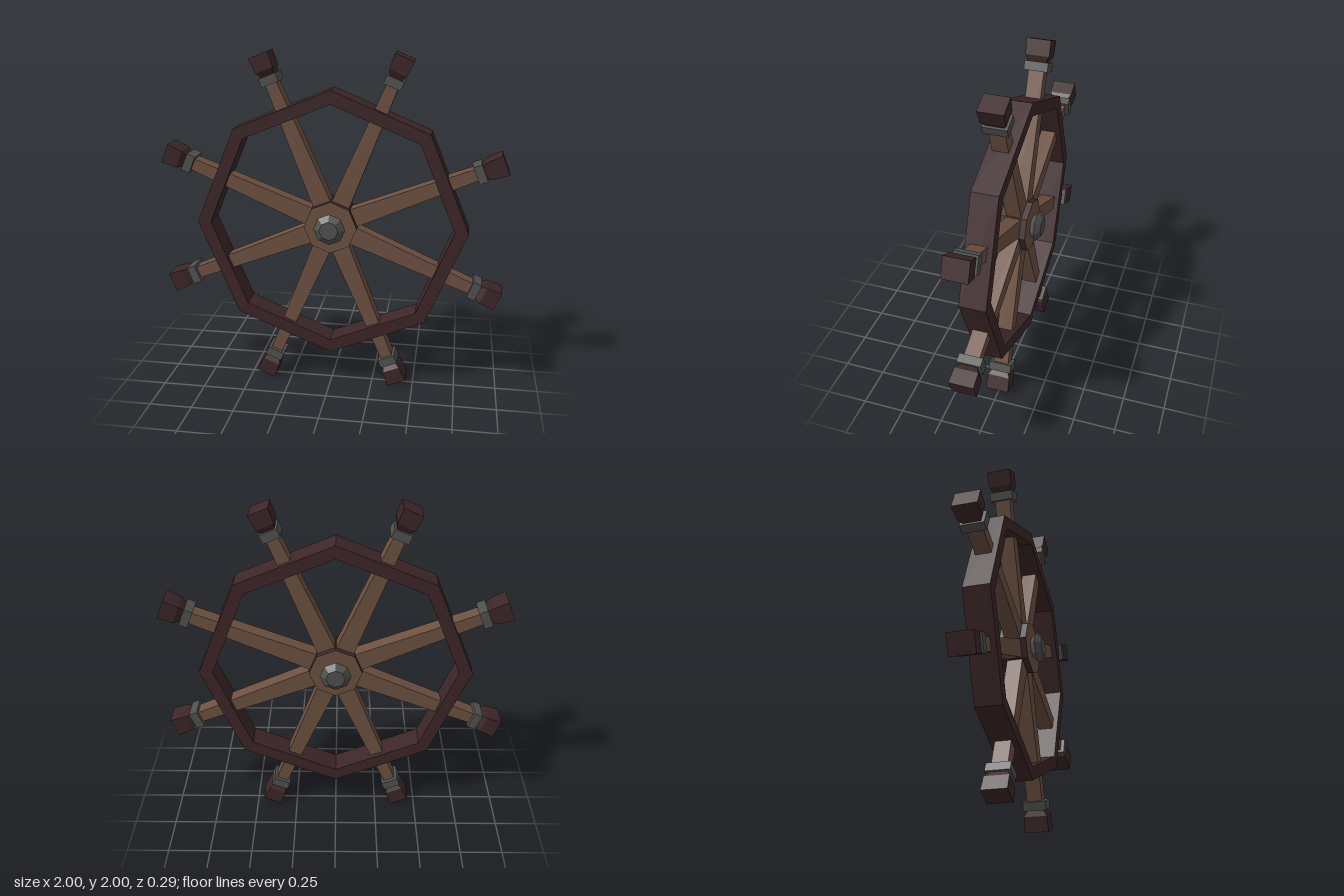
import * as THREE from 'three';

const darkWood = new THREE.MeshStandardMaterial({ color: 0x3d2628 });
const lightWood = new THREE.MeshStandardMaterial({ color: 0x6e5142 });
const iron = new THREE.MeshStandardMaterial({ color: 0x505250 });

// Faceted copy with hard edges.
function facet(geometry) {
  const flat = geometry.index ? geometry.toNonIndexed() : geometry;
  flat.computeVertexNormals();
  return flat;
}

// Four-sided bar along +y; each section is [y, halfWidth, halfDepth].
function bar(sections) {
  const n = sections.length - 1;
  const geometry = new THREE.BoxGeometry(2, n, 2, 1, n, 1);
  const p = geometry.attributes.position;
  for (let i = 0; i < p.count; i++) {
    const [y, w, d] = sections[Math.round(p.getY(i) + n / 2)];
    p.setXYZ(i, p.getX(i) * w, y, p.getZ(i) * d);
  }
  return facet(geometry);
}

function octagon(path, radius) {
  const points = [];
  for (let i = 0; i < 8; i++) {
    const a = (i * Math.PI) / 4;
    points.push(new THREE.Vector2(Math.cos(a) * radius, Math.sin(a) * radius));
  }
  return path.setFromPoints(points);
}

function addMesh(parent, name, geometry, material) {
  const mesh = new THREE.Mesh(geometry, material);
  mesh.name = name;
  parent.add(mesh);
  return mesh;
}

export function createModel() {
  const model = new THREE.Group();
  model.name = 'shipWheel';
  const wheel = new THREE.Group();
  wheel.name = 'wheel';
  wheel.position.y = 1;
  model.add(wheel);

  // Octagonal rim
  const rimShape = octagon(new THREE.Shape(), 0.793);
  rimShape.holes.push(octagon(new THREE.Path(), 0.715));
  const rim = new THREE.ExtrudeGeometry(rimShape, { depth: 0.15, bevelEnabled: false });
  rim.translate(0, 0, -0.075);
  addMesh(wheel, 'rim', rim, darkWood);

  // Hub: dark edge, light faces
  const hub = new THREE.CylinderGeometry(0.155, 0.155, 0.16, 8);
  const hubFlat = facet(hub);
  hubFlat.rotateX(Math.PI / 2);
  addMesh(wheel, 'hub', hubFlat, [darkWood, lightWood, lightWood]);

  // Bevelled iron boss on each side of the hub
  const profile = [[0, 0.078], [0.055, 0.078], [0.092, 0.112], [0.055, 0.143], [0, 0.143]]
    .map(([r, y]) => new THREE.Vector2(r, y));
  const boss = facet(new THREE.LatheGeometry(profile, 8));
  boss.rotateX(Math.PI / 2);
  addMesh(wheel, 'frontBoss', boss, iron);
  addMesh(wheel, 'backBoss', boss, iron).rotation.y = Math.PI;

  // Eight spokes, each with a collar and a flared handle
  const spoke = bar([[0.12, 0.055, 0.045], [0.9, 0.034, 0.045]]);
  const collar = bar([[0.883, 0.052, 0.068], [0.934, 0.052, 0.068]]);
  const handle = bar([[0.93, 0.037, 0.046], [0.967, 0.052, 0.068], [1.057, 0.058, 0.07]]);
  for (let i = 0; i < 8; i++) {
    const arm = new THREE.Group();
    arm.name = 'arm' + (i + 1);
    arm.rotation.z = ((i + 0.5) * Math.PI) / 4;
    addMesh(arm, 'spoke', spoke, lightWood);
    addMesh(arm, 'collar', collar, iron);
    addMesh(arm, 'handle', handle, darkWood);
    wheel.add(arm);
  }
  return model;
}
